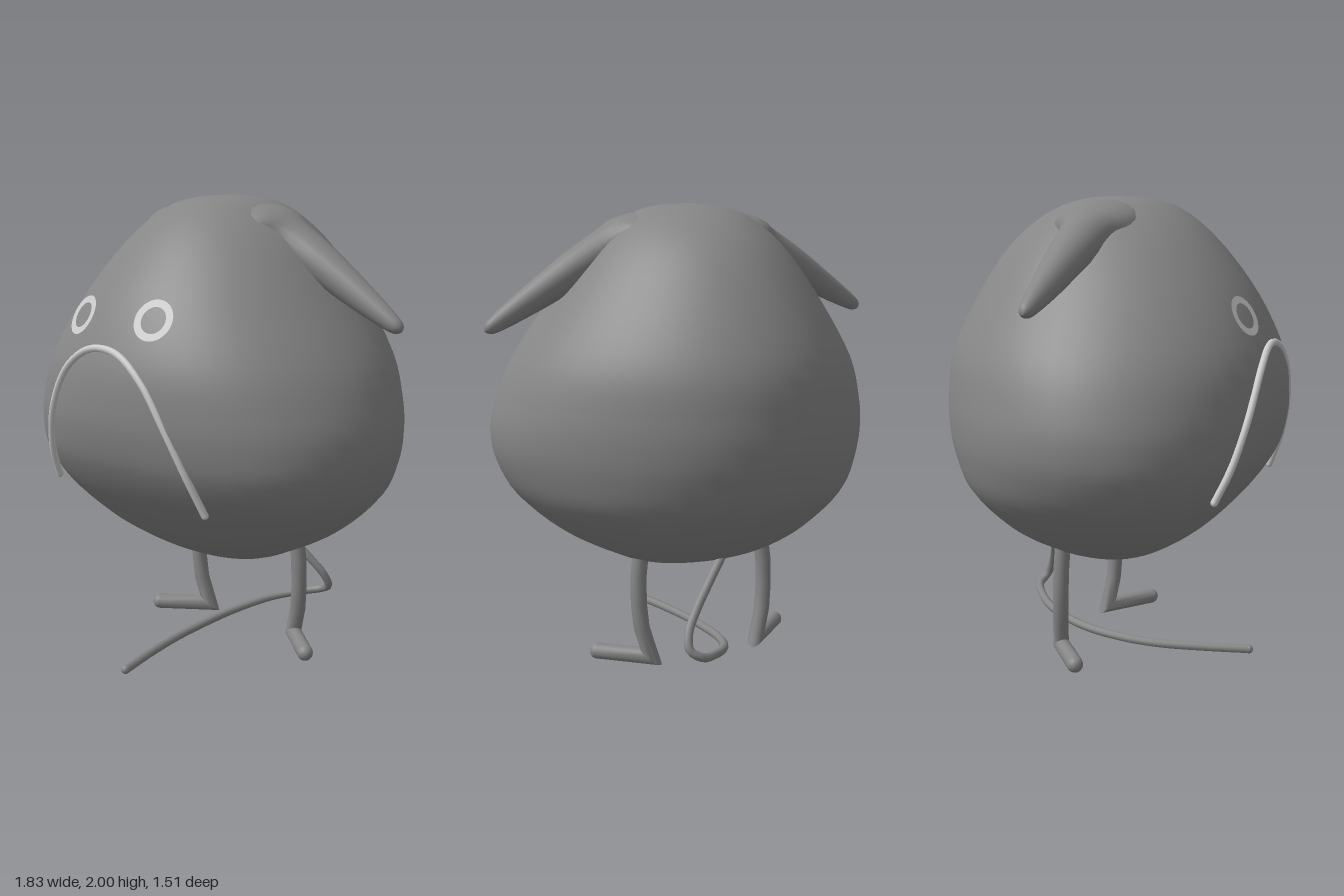
import * as THREE from 'three';
import { mergeVertices, toCreasedNormals } from 'three/addons/utils/BufferGeometryUtils.js';

const V = (x, y, z) => new THREE.Vector3(x, y, z);
const skin = new THREE.MeshStandardMaterial({ color: 0x868686, side: THREE.DoubleSide });
const light = new THREE.MeshStandardMaterial({ color: 0xcccccc, side: THREE.DoubleSide });

function part(name, geometry, material = skin) {
  const mesh = new THREE.Mesh(geometry, material);
  mesh.name = name;
  return mesh;
}

// Smoothly resample a small table of rows, column by column
function resample(rows, n) {
  const columns = rows[0].map((_, k) =>
    new THREE.SplineCurve(rows.map((r, i) => new THREE.Vector2(i, r[k]))));
  return Array.from({ length: n + 1 }, (_, i) => columns.map(c => c.getPoint(i / n).y));
}

// Skin a list of closed rings of points
function loft(rings) {
  const m = rings[0].length, index = [];
  for (let i = 0; i < rings.length - 1; i++) {
    for (let j = 0; j < m; j++) {
      const a = i * m + j, b = i * m + (j + 1) % m;
      index.push(a, a + m, b + m, a, b + m, b);
    }
  }
  const g = new THREE.BufferGeometry().setFromPoints(rings.flat());
  g.setIndex(index);
  const merged = mergeVertices(g, 1e-5);
  merged.computeVertexNormals();
  return merged;
}

const ring = (n, point) => Array.from({ length: n }, (_, j) => {
  const a = j / n * Math.PI * 2;
  return point(Math.cos(a), Math.sin(a));
});

// Body: egg-like sections, with full front corners low down and lean back ones
function bodyGeometry() {
  // height, half width, front z, back z, z of the widest point, front and back corner fullness
  const rows = [
    [0.43, 0, 0.03, 0.03, 0.03, 0.04, 0.02], [0.448, 0.25, 0.2, -0.17, 0.03, 0.05, 0.03],
    [0.51, 0.41, 0.33, -0.35, 0.04, 0.06, 0.02], [0.61, 0.59, 0.465, -0.505, 0.06, 0.06, 0],
    [0.76, 0.755, 0.605, -0.655, 0.08, 0.06, -0.02], [0.9, 0.83, 0.698, -0.722, 0.1, 0.045, -0.04],
    [1.02, 0.852, 0.74, -0.75, 0.1, 0.025, -0.05], [1.15, 0.834, 0.755, -0.755, 0.09, 0.015, -0.05],
    [1.34, 0.76, 0.733, -0.733, 0.06, 0.015, -0.045], [1.58, 0.6, 0.624, -0.62, 0.03, 0.015, -0.04],
    [1.79, 0.44, 0.468, -0.475, 0.01, 0.01, -0.04], [1.92, 0.3, 0.325, -0.315, 0, 0, -0.04],
    [1.98, 0.18, 0.19, -0.16, 0, 0, -0.04], [2, 0, 0.01, 0.01, 0.01, 0, -0.04],
  ];
  return loft(resample(rows, 52).map(([y, w, zf, zb, zc, front, back]) =>
    ring(48, (c, s) => {
      const corner = 1 + (s > 0 ? front : back) * (2 * s * c) ** 2;
      return V(0.01 + w * c * corner, y, zc + s * corner * (s > 0 ? zf - zc : zc - zb));
    })));
}

// Ear: tapered oval sweep in the xy plane, flared where it joins the head
function earGeometry(rows) {
  const p = resample(rows, 32);
  return loft(p.map(([x, y, r, w], i) => {
    const a = p[Math.max(i - 1, 0)], b = p[Math.min(i + 1, p.length - 1)];
    const t = new THREE.Vector2(b[0] - a[0], b[1] - a[1]).normalize();
    return ring(20, (c, s) => V(x - t.y * r * c, y + t.x * r * c, 0.027 - w * s));
  }));
}

// Round bar with mitred corners: each ring is slid along its segment to the mitre plane
function mitredBar(points, radius) {
  const dirs = points.slice(1).map((p, i) => p.clone().sub(points[i]).normalize());
  const n = V(0, 0, 1).cross(dirs[0]).normalize(), b = n.clone().cross(dirs[0]);
  let current = ring(14, (c, s) => points[0].clone()
    .addScaledVector(n, radius * c).addScaledVector(b, radius * s));
  const rings = [current];
  for (let i = 1; i < points.length; i++) {
    const d = dirs[i - 1], plane = d.clone().add(dirs[i] ?? d).normalize();
    current = current.map(q => q.clone().addScaledVector(
      d, points[i].clone().sub(q).dot(plane) / d.dot(plane)));
    rings.push(current);
  }
  return toCreasedNormals(loft(rings), 0.9);
}

// Round tube with rounded ends
function cord(name, points, radius, material) {
  const group = new THREE.Group();
  group.name = name;
  const curve = new THREE.CatmullRomCurve3(points.map(p => V(...p)));
  group.add(part(name + 'Tube', new THREE.TubeGeometry(curve, 80, radius, 10), material));
  for (const t of [0, 1]) {
    const end = part(name + 'End', new THREE.SphereGeometry(radius, 10, 8), material);
    end.position.copy(curve.getPoint(t));
    group.add(end);
  }
  return group;
}

export function createModel() {
  const model = new THREE.Group();
  model.name = 'roundCreature';
  model.add(part('body', bodyGeometry()));

  // Ears: x, y, thickness radius, z radius
  model.add(part('leftEar', earGeometry([
    [0.1, 1.86, 0.1, 0.16], [0.2, 1.86, 0.103, 0.19], [0.3, 1.84, 0.1, 0.175],
    [0.38, 1.803, 0.088, 0.11], [0.53, 1.715, 0.077, 0.085], [0.7, 1.605, 0.06, 0.06],
    [0.84, 1.515, 0.04, 0.038], [0.895, 1.48, 0.025, 0.025], [0.912, 1.468, 0, 0]])));
  model.add(part('rightEar', earGeometry([
    [-0.1, 1.87, 0.1, 0.16], [-0.2, 1.87, 0.103, 0.19], [-0.3, 1.85, 0.1, 0.175],
    [-0.38, 1.82, 0.088, 0.11], [-0.53, 1.745, 0.077, 0.085], [-0.7, 1.65, 0.06, 0.06],
    [-0.84, 1.575, 0.04, 0.038], [-0.895, 1.546, 0.025, 0.025], [-0.913, 1.536, 0, 0]])));

  for (const side of [1, -1]) {
    const name = side > 0 ? 'left' : 'right';

    // Eye: flat ring lying on the face
    const eye = part(name + 'Eye', new THREE.RingGeometry(0.055, 0.086, 32), light);
    eye.position.set(side * 0.207, 1.51, 0.645);
    eye.lookAt(eye.position.clone().add(V(side * 0.25, 0.52, 1)));
    model.add(eye);

    // Leg and foot: one bent bar with a sharp heel and a round toe
    const leg = new THREE.Group();
    leg.name = name + 'Leg';
    const path = [[0.3, 0.5, -0.12], [0.312, 0.4, -0.122], [0.313, 0.28, -0.126],
      [0.303, 0.17, -0.132], [0.266, 0.038, -0.148], [0.457, 0.042, 0.008]]
      .map(([x, y, z]) => V(side * x, y, z));
    leg.add(part(name + 'LegBar', mitredBar(path, 0.035)));
    const toe = part(name + 'Toe', new THREE.SphereGeometry(0.035, 16, 12));
    toe.position.copy(path[path.length - 1]);
    leg.add(toe);
    model.add(leg);
  }

  // Drooping mouth, standing just proud of the face
  model.add(cord('mouth', [
    [-0.45, 0.8, 0.605], [-0.42, 0.93, 0.66], [-0.35, 1.12, 0.705], [-0.24, 1.29, 0.72],
    [-0.13, 1.37, 0.718], [-0.03, 1.392, 0.715], [0.09, 1.37, 0.718], [0.22, 1.27, 0.72],
    [0.32, 1.11, 0.705], [0.39, 0.94, 0.665], [0.435, 0.78, 0.605]], 0.015, light));

  // Tail: drops behind the body, then runs forward along the ground
  model.add(cord('tail', [
    [0, 0.5, -0.305], [0.08, 0.41, -0.345], [0.165, 0.31, -0.39], [0.22, 0.23, -0.43],
    [0.228, 0.17, -0.46], [0.18, 0.138, -0.475], [0.09, 0.115, -0.42], [-0.01, 0.09, -0.31],
    [-0.08, 0.06, -0.13], [-0.1, 0.042, 0.06], [-0.09, 0.035, 0.25], [-0.05, 0.035, 0.45],
    [0, 0.035, 0.64]], 0.019));

  return model;
}
